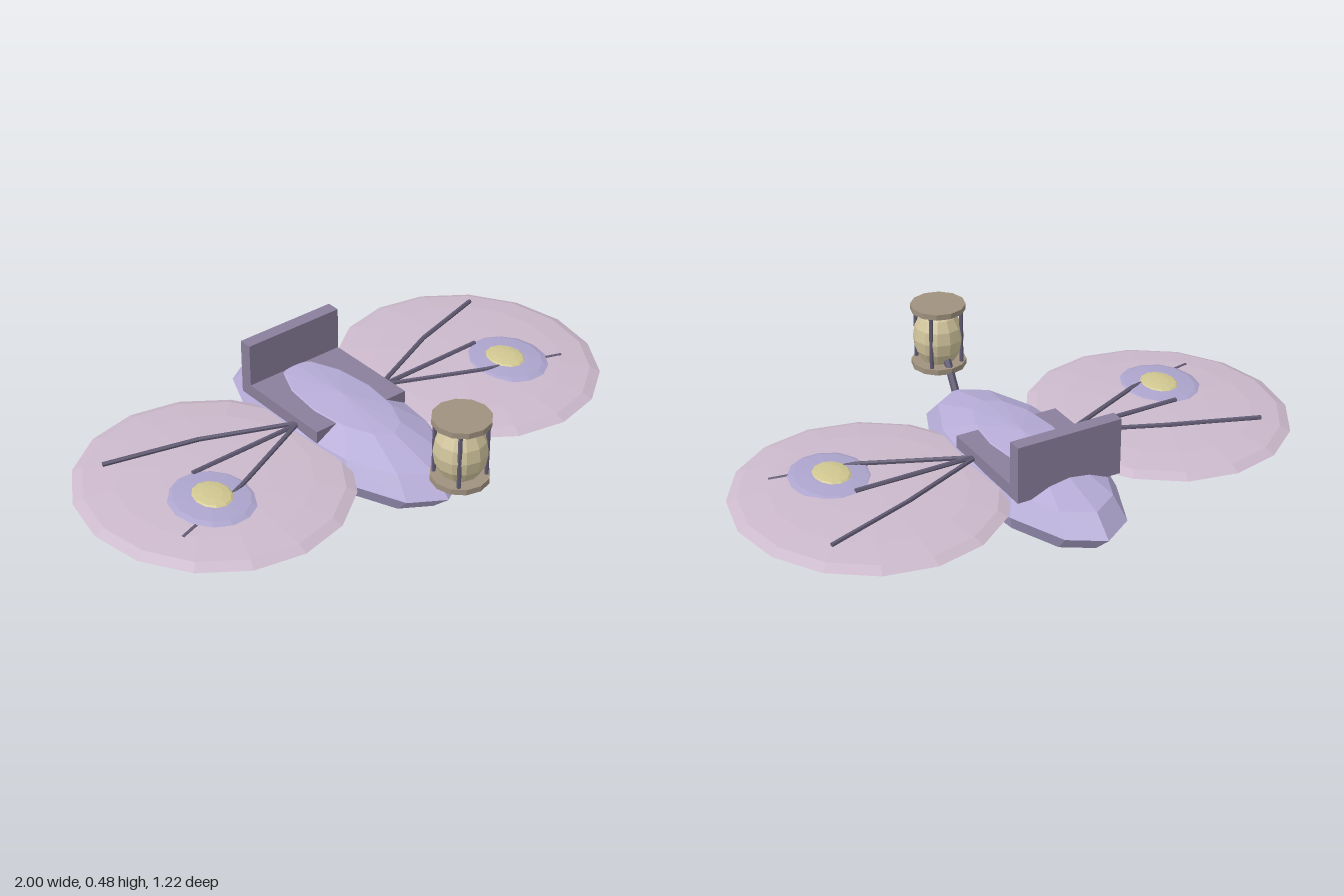
import * as THREE from 'three';

const mat = (name, color) => {
  const m = new THREE.MeshStandardMaterial({ color, flatShading: true });
  m.name = name;
  return m;
};

export function createModel() {
  const group = new THREE.Group();
  const lavender = mat('lavender', 0xb5abd6);
  const purple = mat('dusty purple', 0x8a7f9c);
  const mauve = mat('pale mauve', 0xcbb9cb);
  const lilac = mat('lilac', 0xaca4cc);
  const yellow = mat('soft yellow', 0xcfc690);
  const slate = mat('dark slate', 0x625c74);
  const tan = mat('tan', 0x9f917f);
  const cream = mat('cream', 0xd0c49c);

  const add = (name, geo, material, x, y, z, parent = group) => {
    const m = new THREE.Mesh(geo, material);
    m.name = name;
    m.position.set(x, y, z);
    parent.add(m);
    return m;
  };
  // Faceted ellipsoid with its poles on y
  const blob = (rx, ry, rz, w, h) => new THREE.SphereGeometry(1, w, h).scale(rx, ry, rz);
  // Straight rod between two points
  const rod = (name, a, b, r, material, parent = group) => {
    const p = new THREE.Vector3(...a), q = new THREE.Vector3(...b);
    const d = q.clone().sub(p);
    const m = add(name, new THREE.CylinderGeometry(r, r, d.length(), 6), material, 0, 0, 0, parent);
    m.position.copy(p).add(q).multiplyScalar(0.5);
    m.quaternion.setFromUnitVectors(new THREE.Vector3(0, 1, 0), d.normalize());
    return m;
  };

  // Hull, seat and backrest
  add('body', blob(0.23, 0.133, 0.54, 12, 6), lavender, 0, 0.133, -0.07);
  add('seat', new THREE.BoxGeometry(0.38, 0.045, 0.36), purple, 0, 0.223, -0.147);
  add('backrest', new THREE.BoxGeometry(0.38, 0.2, 0.048), purple, 0, 0.3, -0.349);

  // Wings with eyespots and branching veins
  const veins = [
    [[0.18, 0.218, -0.08], [0.49, 0.218, -0.213], [0.8, 0.207, -0.308]],
    [[0.18, 0.218, -0.075], [0.61, 0.217, -0.075]],
    [[0.18, 0.218, -0.08], [0.53, 0.216, 0.077], [0.81, 0.196, 0.155]],
  ];
  for (const s of [-1, 1]) {
    const wing = new THREE.Group();
    wing.name = s > 0 ? 'leftWing' : 'rightWing';
    group.add(wing);
    add('wingDisc', blob(0.45, 0.04, 0.48, 16, 8), mauve, s * 0.55, 0.173, -0.047, wing);
    add('eyespot', blob(0.138, 0.014, 0.16, 14, 6), lilac, s * 0.633, 0.207, 0.06, wing);
    add('eyespotCentre', blob(0.065, 0.013, 0.08, 12, 6), yellow, s * 0.63, 0.217, 0.06, wing);
    for (const path of veins) {
      for (let i = 1; i < path.length; i++) {
        const [a, b] = [path[i - 1], path[i]].map(([x, y, z]) => [s * x, y, z]);
        rod('wingVein', a, b, 0.008, slate, wing);
      }
    }
  }

  // Lantern carried on a sloping arm at the bow
  rod('lanternArm', [0, 0.17, 0.38], [0, 0.3, 0.46], 0.014, slate);
  const lantern = new THREE.Group();
  lantern.name = 'lantern';
  lantern.position.z = 0.516;
  group.add(lantern);
  add('lanternGlobe', blob(0.09, 0.113, 0.09, 12, 8), cream, 0, 0.359, 0, lantern);
  for (const y of [0.26, 0.473])
    add('lanternPlate', new THREE.CylinderGeometry(0.097, 0.097, 0.02, 12), tan, 0, y, 0, lantern);
  for (let i = 0; i < 4; i++) {
    const a = (i + 0.5) * Math.PI / 2;
    const x = 0.083 * Math.cos(a), z = 0.083 * Math.sin(a);
    rod('lanternBar', [x, 0.265, z], [x, 0.465, z], 0.007, slate, lantern);
  }
  return group;
}
